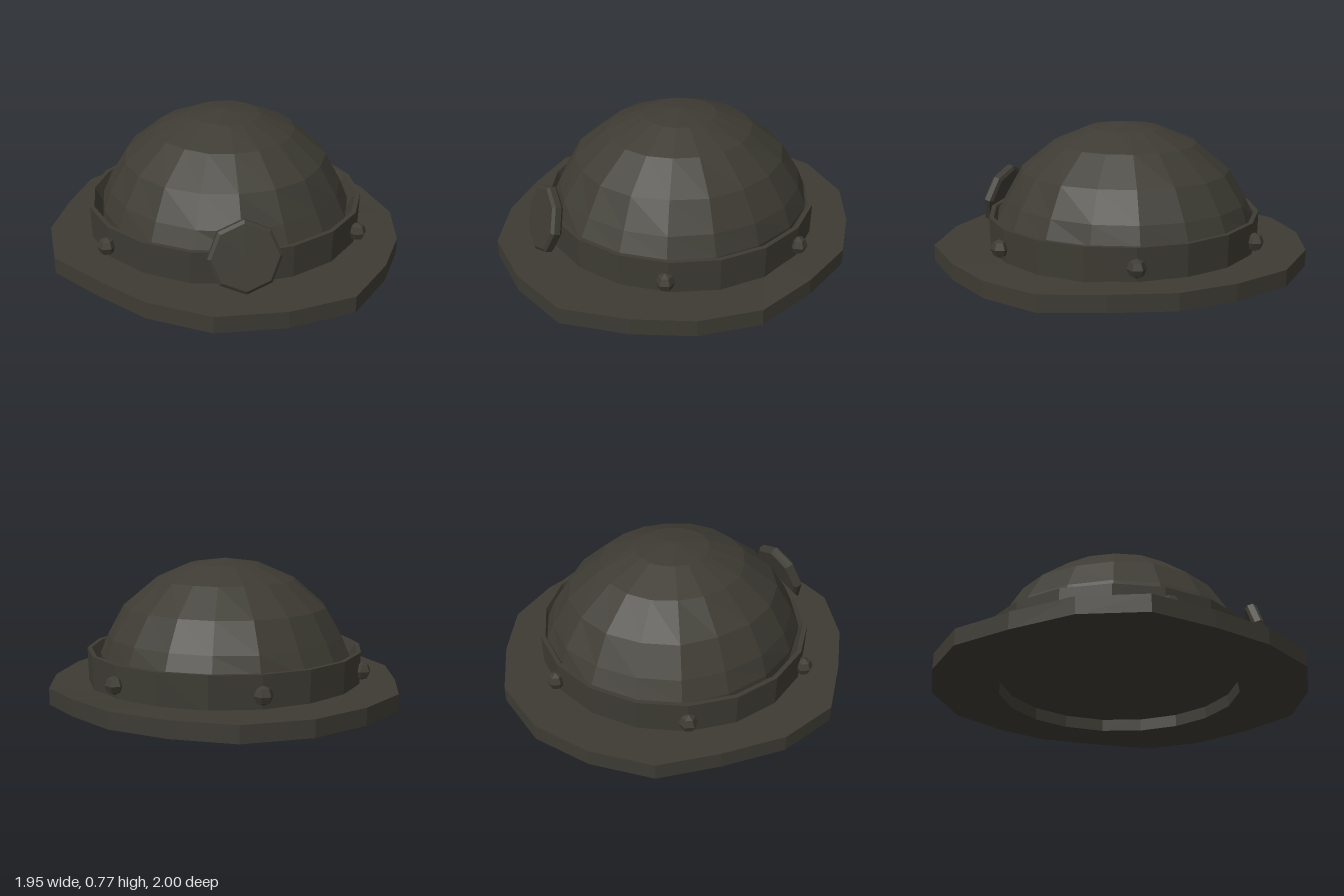
import * as THREE from 'three';

const darkOlive = new THREE.MeshStandardMaterial({ color: 0x3d3b33 });
darkOlive.name = 'darkOlive';

// Faceted mesh: every face gets its own normal
function facetedMesh(name, geometry) {
  const flat = geometry.index ? geometry.toNonIndexed() : geometry;
  flat.computeVertexNormals();
  const mesh = new THREE.Mesh(flat, darkOlive);
  mesh.name = name;
  return mesh;
}

function lathe(profile, sides) {
  return new THREE.LatheGeometry(profile.map(([r, y]) => new THREE.Vector2(r, y)), sides);
}

// Uneven brim outline: x, z and underside height, running back, left, front, right
const brimOutline = [
  [-0.18, -1, 0.025], [0.18, -0.99, 0.02], [0.48, -0.83, 0.02], [0.73, -0.63, 0.025],
  [0.88, -0.33, 0.02], [0.97, 0, 0], [0.91, 0.33, 0], [0.76, 0.62, 0.005],
  [0.53, 0.9, 0.005], [0.18, 1, 0.01], [-0.18, 1, 0.01], [-0.49, 0.83, 0.01],
  [-0.72, 0.6, 0.015], [-0.94, 0.34, 0.015], [-0.975, 0, 0.02], [-0.88, -0.34, 0.02],
  [-0.76, -0.65, 0.02], [-0.49, -0.87, 0.025],
];

function brimGeometry() {
  const positions = [], indices = [], n = brimOutline.length;
  for (const [x, z, y] of brimOutline) {
    const k = 1 / Math.hypot(x, z);
    const inner = 0.65 * k;
    positions.push(
      x * inner, 0.015, z * inner,
      x, y, z,
      x, y + 0.09, z,
      x * inner, 0.105, z * inner,
    );
  }
  for (let i = 0; i < n; i++) {
    const next = (i + 1) % n;
    for (let j = 0; j < 4; j++) {
      const a = i * 4 + j, b = next * 4 + j;
      const d = i * 4 + (j + 1) % 4, c = next * 4 + (j + 1) % 4;
      indices.push(a, d, b, d, c, b);
    }
  }
  const geometry = new THREE.BufferGeometry();
  geometry.setAttribute('position', new THREE.Float32BufferAttribute(positions, 3));
  geometry.setIndex(indices);
  return geometry;
}

// Hammered dome: lathe with a small position-based unevenness
function domeGeometry() {
  const geometry = lathe([
    [0.71, 0.1], [0.71, 0.25], [0.665, 0.36], [0.57, 0.515],
    [0.395, 0.66], [0.2, 0.742], [0, 0.77],
  ], 18);
  geometry.scale(0.97, 1, 1.01);
  const p = geometry.attributes.position;
  for (let i = 0; i < p.count; i++) {
    const x = p.getX(i), y = p.getY(i), z = p.getZ(i);
    const wobble = 1 + 0.011 * Math.sin(17 * x + 23 * z + 31 * y);
    p.setXYZ(i, x * wobble, y, z * wobble - 0.015);
  }
  return geometry;
}

export function createModel() {
  const helmet = new THREE.Group();
  helmet.name = 'helmet';

  helmet.add(facetedMesh('brim', brimGeometry()));
  helmet.add(facetedMesh('dome', domeGeometry()));

  // Band around the dome, closed underneath, with an inward-sloping lip
  const band = facetedMesh('band', lathe([
    [0, 0.085], [0.755, 0.085], [0.76, 0.28], [0.735, 0.28], [0.69, 0.2],
  ], 18));
  band.scale.z = 0.98;
  band.position.z = -0.01;
  helmet.add(band);

  // Six rivets around the band
  for (let i = 0; i < 6; i++) {
    const angle = i * Math.PI / 3;
    const rivet = facetedMesh('rivet', new THREE.SphereGeometry(0.05, 6, 4));
    rivet.position.set(0.768 * Math.sin(angle), 0.18, 0.768 * Math.cos(angle));
    rivet.rotation.y = angle;
    helmet.add(rivet);
  }

  // Plain eight-sided front plate with bevelled edges, leaning back
  const plateGeometry = lathe([
    [0, -0.03], [0.168, -0.03], [0.185, -0.016], [0.185, 0.016], [0.168, 0.03], [0, 0.03],
  ], 8);
  plateGeometry.rotateX(Math.PI / 2);
  const frontPlate = facetedMesh('frontPlate', plateGeometry);
  frontPlate.position.set(0, 0.283, 0.772);
  frontPlate.rotation.x = -0.28;
  helmet.add(frontPlate);

  return helmet;
}
